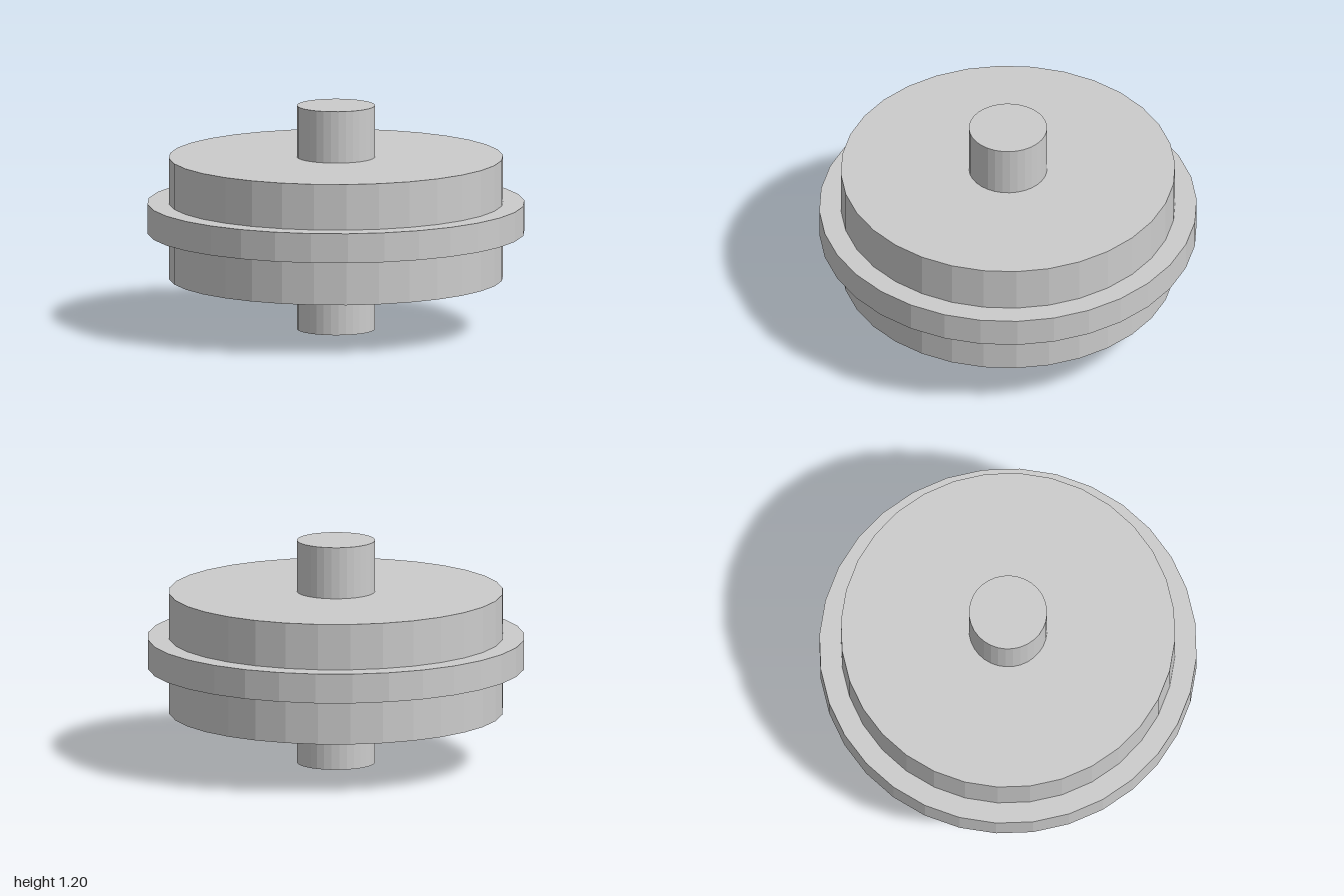
import * as THREE from 'three';

const SIDES = 32;
const CENTRE_Y = 0.6;

export function createModel() {
  const model = new THREE.Group();
  model.name = 'flangedWheel';
  const material = new THREE.MeshStandardMaterial({ color: 0xcccccc, flatShading: true });

  // Coaxial cylinder, centred on the wheel's mid-plane
  const addCylinder = (name, radius, height) => {
    const mesh = new THREE.Mesh(new THREE.CylinderGeometry(radius, radius, height, SIDES), material);
    mesh.name = name;
    mesh.position.y = CENTRE_Y;
    model.add(mesh);
  };

  addCylinder('axle', 0.207, 1.2); // runs through and sticks out at both ends
  addCylinder('wheelBody', 0.886, 0.648);
  addCylinder('rimFlange', 1, 0.158); // raised band around the middle

  return model;
}
